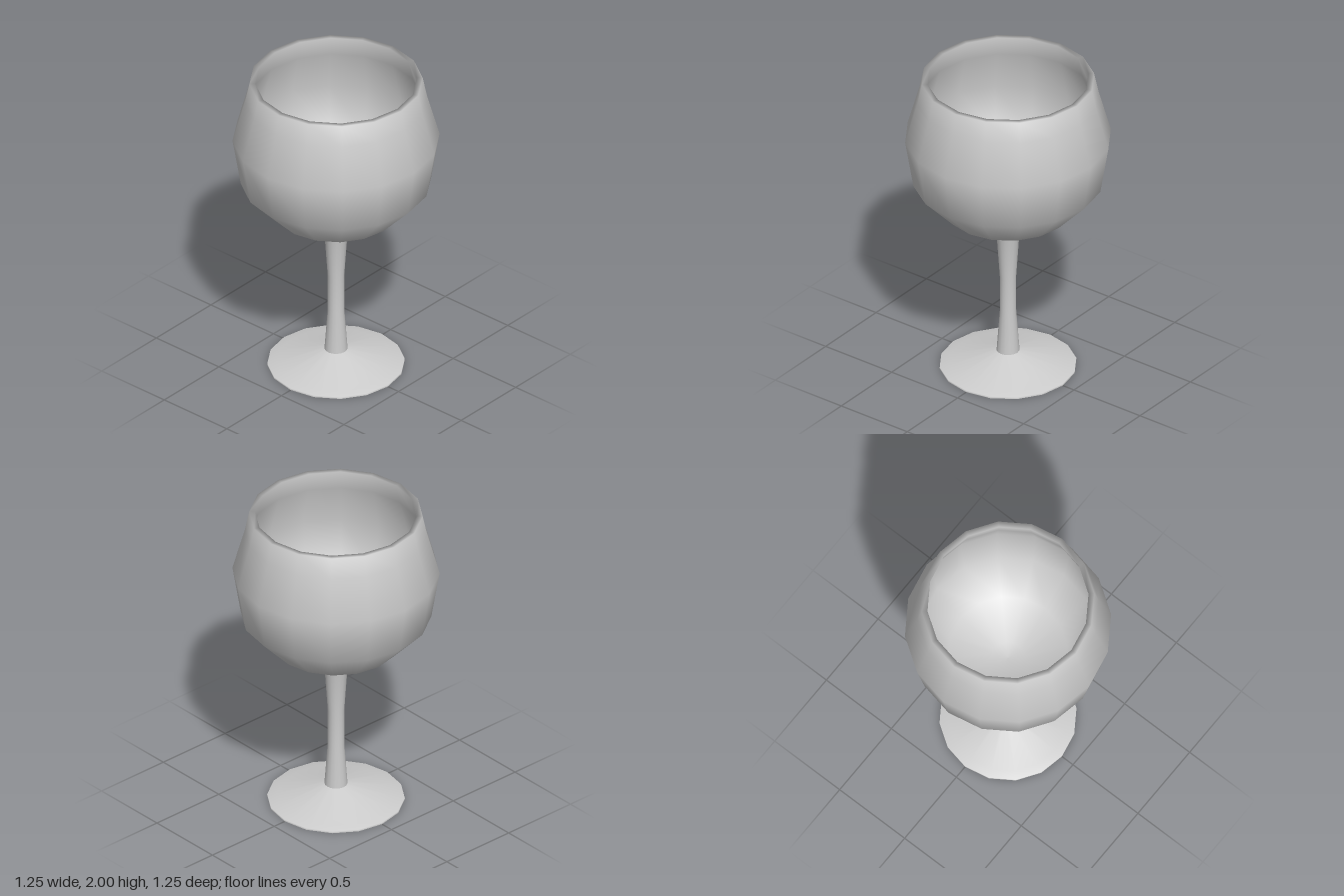
import * as THREE from 'three';

const SIDES = 16;

// Profile points are [radius, height], running so that faces point outward.
function turned(name, profile, material) {
  const points = profile.map(([r, y]) => new THREE.Vector2(r, y));
  const mesh = new THREE.Mesh(new THREE.LatheGeometry(points, SIDES), material);
  mesh.name = name;
  return mesh;
}

export function createModel() {
  const glass = new THREE.MeshStandardMaterial({ color: 0xcccccc });
  glass.name = 'pale grey glass';

  const group = new THREE.Group();
  group.name = 'wineGlass';

  // Flat disc under the foot
  group.add(turned('footUnderside', [[0, 0], [0.415, 0]], glass));

  // Thin rim and shallow cone of the foot
  group.add(turned('foot', [[0.415, 0], [0.415, 0.012], [0.36, 0.018], [0.07, 0.105]], glass));

  // Waisted stem, flaring into the bowl
  group.add(turned('stem', [[0.07, 0.105], [0.05, 0.38], [0.05, 0.62], [0.072, 0.95], [0.11, 1.005]], glass));

  // Bowl wall: outside up to the lip, then down the inside
  group.add(turned('bowl', [
    [0.11, 1.005], [0.38, 1.09], [0.575, 1.295], [0.625, 1.6], [0.55, 1.87], [0.523, 2],
    [0.488, 2], [0.515, 1.87], [0.59, 1.6], [0.545, 1.31], [0.36, 1.12], [0.1, 1.035], [0, 1.03],
  ], glass));

  return group;
}
